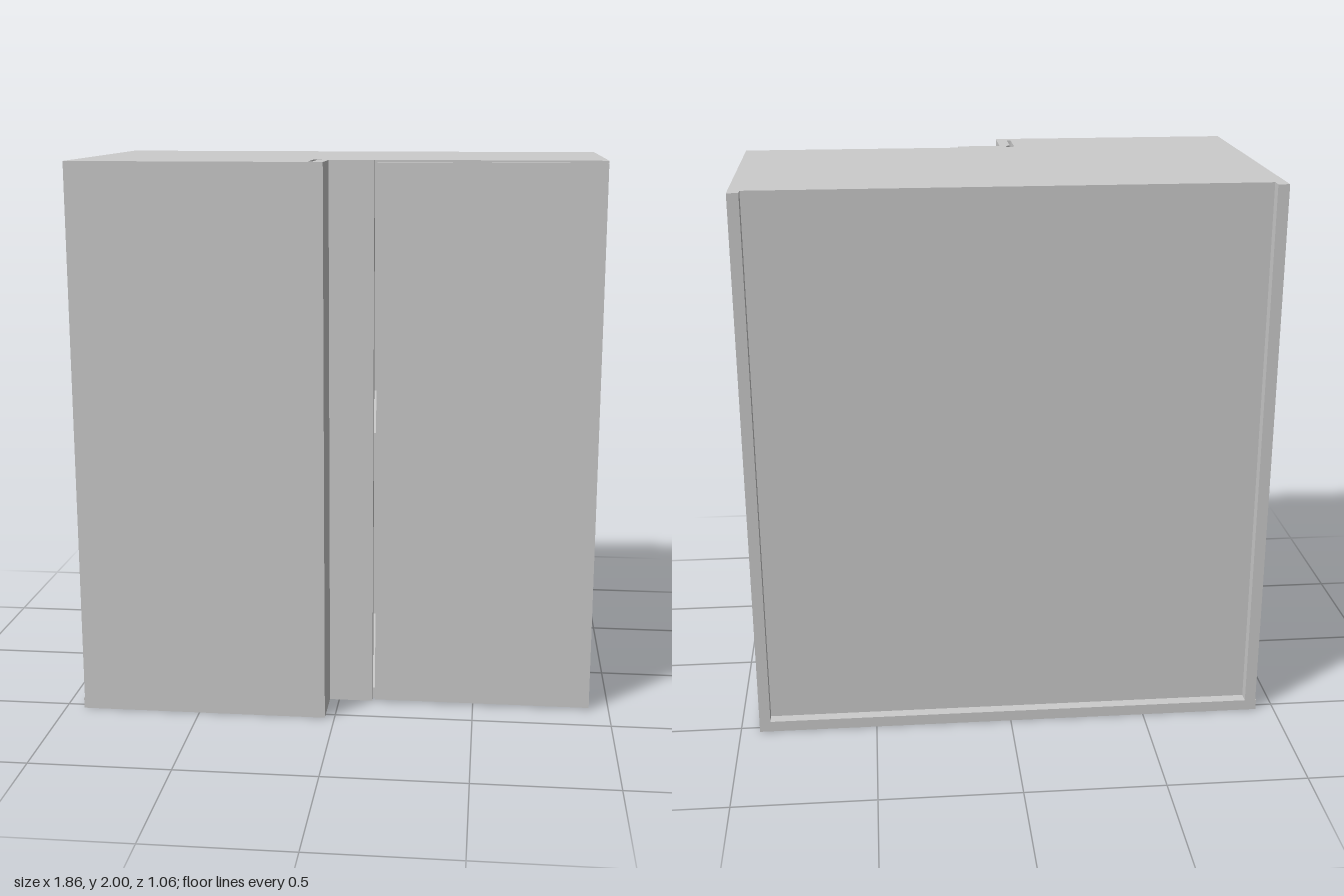
import * as THREE from 'three';

export function createModel() {
  const group = new THREE.Group();
  group.name = 'blindCornerCabinet';
  const material = new THREE.MeshStandardMaterial({ color: 0xcccccc, flatShading: true });

  const add = (name, geometry) => {
    const mesh = new THREE.Mesh(geometry, material);
    mesh.name = name;
    group.add(mesh);
    return mesh;
  };

  // Box given by its limits on each axis
  const panel = (name, [x0, x1], [y0, y1], [z0, z1]) =>
    add(name, new THREE.BoxGeometry(x1 - x0, y1 - y0, z1 - z0))
      .position.set((x0 + x1) / 2, (y0 + y1) / 2, (z0 + z1) / 2);

  const T = 0.04;            // board thickness
  const W = 0.93;            // half width
  const back = -0.53, backFace = -0.49;
  const inner = [T, 2 - T];  // height between bottom and top boards

  // Stepped horizontal board with a hooked slot; points are (x, z)
  const toVectors = pts => pts.map(([x, z]) => new THREE.Vector2(x, -z));
  const slot = [[-0.09, 0.49], [-0.09, 0.34], [-0.08, 0.325], [-0.06, 0.325],
    [-0.06, 0.355], [-0.075, 0.365], [-0.075, 0.49]];
  const board = (name, y, rear, left) => {
    const shape = new THREE.Shape(toVectors([[left, 0.53], [-0.035, 0.53], [-0.035, 0.36],
      [0.125, 0.36], [0.125, 0.33], [W, 0.33], [W, rear], [left, rear]]));
    shape.holes.push(new THREE.Path(toVectors(slot)));
    const geometry = new THREE.ExtrudeGeometry(shape, { depth: T, bevelEnabled: false });
    add(name, geometry.rotateX(-Math.PI / 2)).position.y = y;
  };
  board('bottomBoard', 0, back, -W - 0.003);
  board('topBoard', 2 - T, backFace, -W);

  // Sides, and the rear edges that frame the recessed back
  panel('rightSide', [-W, -W + T], inner, [backFace, 0.49]);
  panel('leftSide', [W - T, W], inner, [backFace, 0.33]);
  for (const s of [-1, 1]) {
    const x = s * (W - T / 2);
    panel('rearPost', [x - T / 2, x + T / 2], [T, 2], [back, backFace]);
  }
  panel('backPanel', [-W + T, W - T], inner, [backFace, backFace + 0.015]);

  // Blind front, its return, and the filler beside the door
  panel('blindFront', [-W, -0.035], inner, [0.49, 0.53]);
  panel('blindReturn', [-0.075, -0.035], inner, [0.36, 0.49]);
  panel('fillerStrip', [-0.06, 0.125], inner, [0.33, 0.36]);

  // Door with a narrow gap all round
  panel('door', [0.135, 0.927], [0.007, 1.993], [0.335, 0.362]);

  // Inner shelf
  panel('shelf', [-W + T, W - T], [0.98, 1.02], [backFace + 0.015, 0.31]);

  return group;
}
